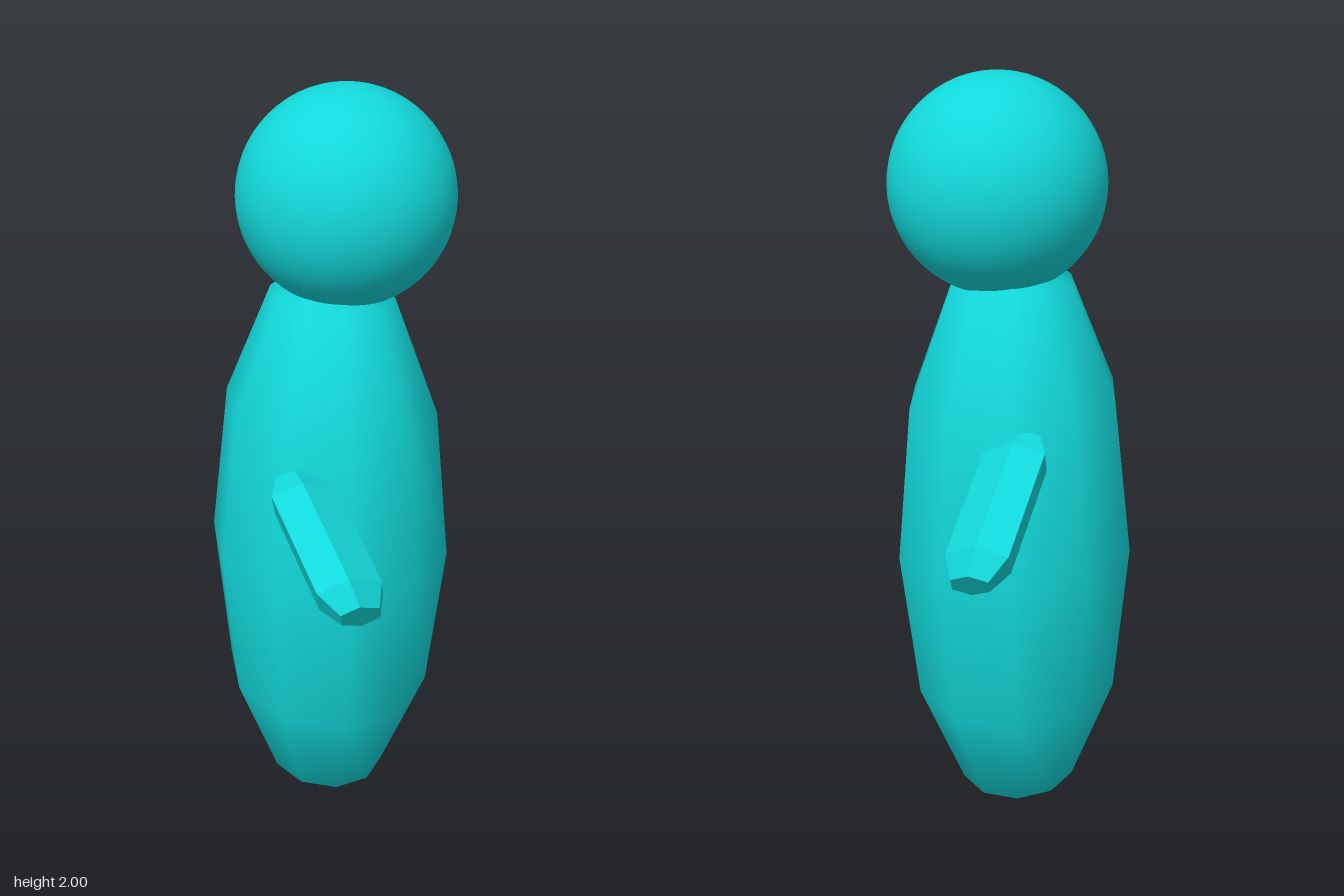
import * as THREE from 'three';

export function createModel() {
  const model = new THREE.Group();
  const smooth = new THREE.MeshStandardMaterial({ color: 0x12d8da });
  const faceted = new THREE.MeshStandardMaterial({ color: 0x12d8da, flatShading: true });

  function add(name, geometry, material) {
    const mesh = new THREE.Mesh(geometry, material);
    mesh.name = name;
    model.add(mesh);
    return mesh;
  }

  // Body: coarse ten-sided ellipsoid, sheared slightly sideways
  const bodyGeometry = new THREE.SphereGeometry(1, 10, 6);
  bodyGeometry.rotateY(Math.PI / 2);
  bodyGeometry.scale(0.31, 0.797, 0.352);
  bodyGeometry.applyMatrix4(new THREE.Matrix4().set(
    1, 0.014, 0, 0,
    -0.05, 1, 0, 0,
    0, 0, 1, 0,
    0, 0, 0, 1));
  add('body', bodyGeometry, smooth).position.set(-0.01, 0.8, -0.02);

  // Head
  add('head', new THREE.SphereGeometry(0.267, 48, 32), smooth).position.set(0.033, 1.733, -0.021);

  // Arms: flattened six-sided bars with chamfered ends
  const profile = [[0, -0.2], [0.6, -0.2], [1, -0.14], [1, 0.14], [0.6, 0.2], [0, 0.2]]
    .map(([r, y]) => new THREE.Vector2(r, y));

  function addArm(name, centre, direction, flatNormal) {
    const along = new THREE.Vector3(...direction).normalize();
    const normal = new THREE.Vector3(...flatNormal);
    normal.addScaledVector(along, -normal.dot(along)).normalize();
    const across = new THREE.Vector3().crossVectors(normal, along);
    const geometry = new THREE.LatheGeometry(profile, 6);
    geometry.scale(0.068, 1, 0.107);
    const arm = add(name, geometry, faceted);
    arm.quaternion.setFromRotationMatrix(new THREE.Matrix4().makeBasis(normal, along, across));
    arm.position.set(...centre);
  }
  addArm('frontArm', [-0.085, 1.02, 0.412], [0.29, -0.55, 1], [0.54, 0.8, 0.28]);
  addArm('backArm', [0.025, 1.047, -0.425], [0.38, -0.8, -1], [0.68, 0.7, -0.25]);

  return model;
}
